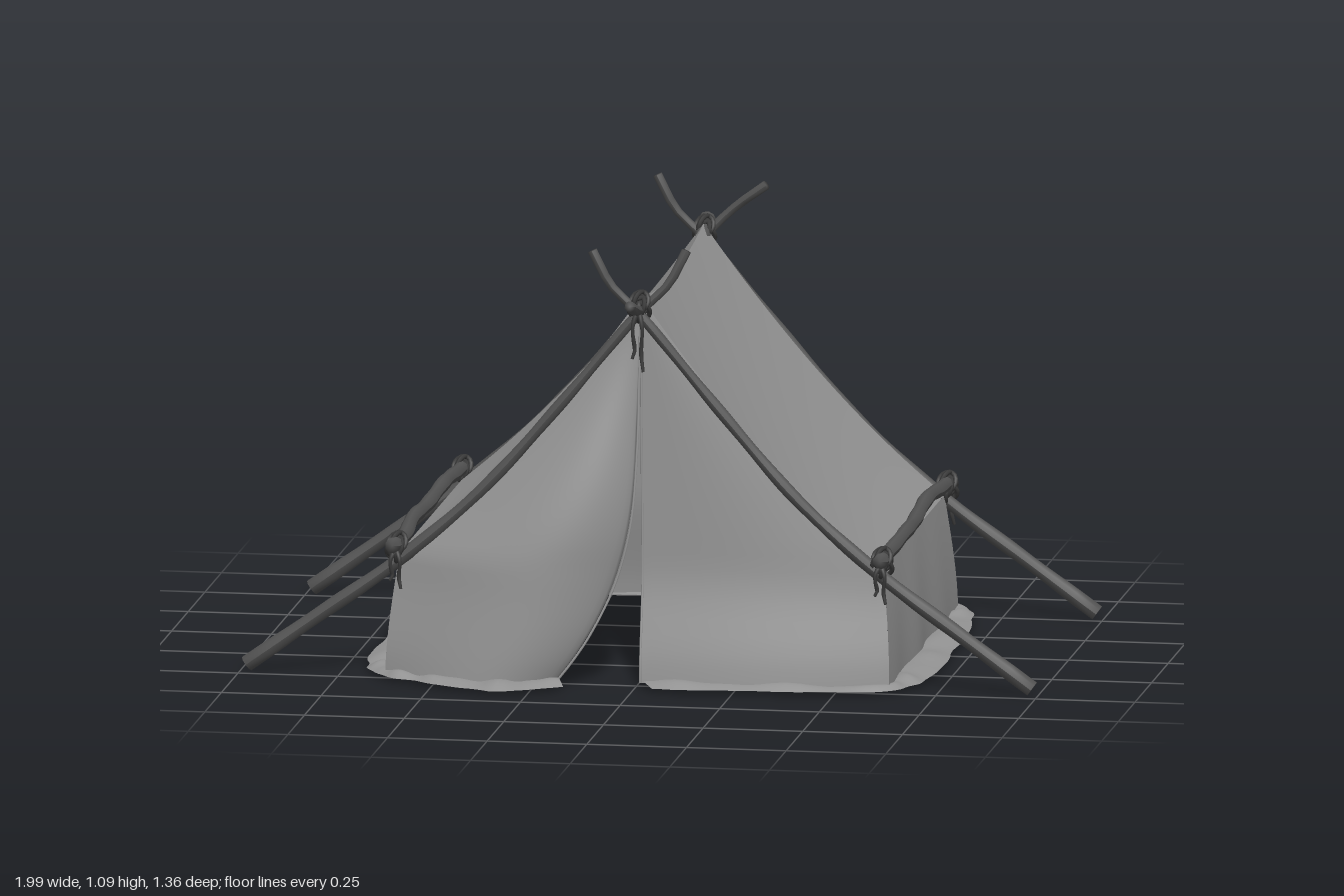
import * as THREE from 'three';
import { ParametricGeometry } from 'three/addons/geometries/ParametricGeometry.js';

const canvas = new THREE.MeshStandardMaterial({ color: 0x939393, side: THREE.DoubleSide });
const wood = new THREE.MeshStandardMaterial({ color: 0x525252 });
const rope = new THREE.MeshStandardMaterial({ color: 0x3a3a3a });
const V = (x, y, z) => new THREE.Vector3(x, y, z);
const { clamp, lerp, smoothstep } = THREE.MathUtils;

const EAVE = 0.3, TOP = 0.965;
const ROOF_FRONT = 0.44, ROOF_BACK = -0.505;
const FRONT_POLE = 0.457, BACK_POLE = -0.522;

// Half width of the tent at a height, and the z of its corners
const low = y => smoothstep(EAVE - y, 0, EAVE);
const halfWidth = y => y > EAVE
  ? 1.4 - Math.sqrt(1.96 - 2 * (TOP - Math.min(y, TOP)))
  : 0.605 + 0.027 * Math.sqrt(low(y));
const frontZ = y => ROOF_FRONT + 0.05 * low(y);
const backZ = y => ROOF_BACK - 0.04 * low(y);

function add(group, name, geometry, material) {
  const mesh = new THREE.Mesh(geometry, material);
  mesh.name = name;
  group.add(mesh);
  return mesh;
}

function cloth(group, name, fn, nu = 24, nv = 24) {
  const g = new ParametricGeometry((u, v, t) => t.copy(fn(u, v)), nu, nv);
  g.computeVertexNormals();
  return add(group, name, g, canvas);
}

// Tapered, slightly uneven round stick; the end rings close into flat caps
function stick(group, name, points, r0, r1, material = wood, wobble = 0.001, n = 44) {
  const curve = new THREE.CatmullRomCurve3(points);
  const sides = 9;
  const g = new THREE.TubeGeometry(curve, n, 1, sides, false);
  const p = g.attributes.position, c = V(), c2 = V(), q = V();
  for (let i = 0; i <= n; i++) {
    curve.getPointAt(i / n, c);
    const end = i === 0 || i === n;
    curve.getPointAt(i === 1 ? 0 : i === n - 1 ? 1 : i / n, c2);
    const r = end ? 0 : lerp(r0, r1, i / n) + wobble * Math.sin(i * 0.9);
    for (let j = 0; j <= sides; j++) {
      const k = i * (sides + 1) + j;
      q.fromBufferAttribute(p, k).sub(c).multiplyScalar(r).add(c2);
      p.setXYZ(k, q.x, q.y, q.z);
    }
  }
  g.computeVertexNormals();
  return add(group, name, g, material);
}

// Rope wound round a crossing, with loose hanging ends
function lashing(group, name, x, y, z, drop, out) {
  const knot = new THREE.Group();
  knot.name = name;
  knot.position.set(x, y, z);
  for (let i = 0; i < 6; i++) {
    const coil = add(knot, 'ropeCoil', new THREE.TorusGeometry(0.026, 0.006, 6, 16), rope);
    coil.rotation.set(i < 3 ? 0.5 : -0.5, i * 0.55, i < 3 ? 0.6 : -0.6);
    coil.position.y = (i % 3 - 1) * 0.012;
  }
  for (const s of [-1, 1]) {
    stick(knot, 'ropeEnd', [
      V(0, 0, out * 0.02), V(s * 0.012, -drop * 0.3, out * 0.032),
      V(s * 0.008, -drop * 0.7, out * 0.024), V(s * 0.014, -drop * (s > 0 ? 1 : 0.8), out * 0.028),
    ], 0.006, 0.004, rope, 0.0008, 12);
  }
  group.add(knot);
}

function roofAndWalls(group) {
  for (const s of [-1, 1]) {
    cloth(group, s > 0 ? 'leftRoof' : 'rightRoof', (u, v) => {
      const x = u * 0.605, z = lerp(ROOF_FRONT, ROOF_BACK, v);
      const sag = 1 - (2 * v - 1) ** 2;
      return V(s * x, TOP - 1.4 * x + 0.5 * x * x - sag * (0.037 * (1 - u) + 0.008 * Math.sin(u * Math.PI)), z);
    });
    cloth(group, s > 0 ? 'leftWall' : 'rightWall', (u, v) => {
      const y = lerp(EAVE, 0.008, u);
      const fold = 0.006 * Math.sin(v * 17 + s) * u;
      return V(s * (halfWidth(y) + fold * Math.sin(v * Math.PI)), y, lerp(frontZ(y), backZ(y), v));
    });
  }
}

function endPanels(group) {
  // Back panel with a soft crease down the middle
  cloth(group, 'backPanel', (u, v) => {
    const y = lerp(TOP, 0.008, v), a = 2 * u - 1;
    const bulge = 0.03 * Math.cos(a * Math.PI / 2) * v;
    const crease = 0.02 * Math.exp(-((a / 0.07) ** 2)) * Math.sin(v * Math.PI);
    return V(a * halfWidth(y), y, backZ(y) - bulge + crease + 0.006 * Math.sin(a * 11) * v * (1 - a * a));
  }, 48, 30);

  // Closed half of the doorway
  const closed = (u, v) => {
    const y = lerp(TOP, 0.008, v);
    const z = frontZ(y) + v * (0.03 * (1 - u) + 0.025 * Math.sin(u * Math.PI));
    return V(lerp(0.012 * v, halfWidth(y), u), y, z);
  };
  cloth(group, 'leftDoorFlap', closed);

  // Open half: bellies outward and its free edge curls back inside
  const edge = y => -0.012 * (TOP - y) - 0.19 * Math.pow(clamp((0.6 - y) / 0.6, 0, 1), 2.6);
  const open = (u, v) => {
    const y = lerp(TOP, 0.008, v), s = lerp(-0.12, 1, u), a = Math.abs(s);
    const belly = smoothstep(TOP - y, 0, 0.72) * (1 - 0.25 * low(y));
    let z = frontZ(y) + belly * (0.05 * (1 - a) + 0.105 * Math.sin(Math.PI * Math.pow(a, 0.8)));
    if (s < 0) z -= belly * a * 0.75;
    return V(lerp(edge(y), -halfWidth(y), a), y, z);
  };
  cloth(group, 'rightDoorFlap', open, 40, 32);

  // Rolled hems along the free edges
  const hem = (name, fn, u) => stick(group, name,
    [0.04, 0.2, 0.4, 0.6, 0.75, 0.88, 0.95, 1].map(v => fn(u, v)), 0.003, 0.003, canvas, 0);
  hem('leftDoorHem', closed, 0);
  hem('rightDoorHem', open, 0.12 / 1.12);
}

// Loose cloth spread on the ground: each row is inner x, z, outer x, z
function groundSkirt(group) {
  const rows = [
    [-0.2, 0.52, -0.17, 0.585], [-0.32, 0.56, -0.32, 0.67], [-0.5, 0.53, -0.5, 0.6],
    [-0.62, 0.47, -0.65, 0.50], [-0.62, 0.3, -0.70, 0.35], [-0.62, 0, -0.705, 0],
    [-0.62, -0.4, -0.69, -0.42], [-0.61, -0.53, -0.63, -0.61], [-0.28, -0.55, -0.27, -0.68],
    [0, -0.55, 0, -0.65], [0.25, -0.55, 0.25, -0.665], [0.61, -0.53, 0.62, -0.61],
    [0.62, -0.4, 0.69, -0.42], [0.62, 0, 0.71, 0], [0.62, 0.3, 0.70, 0.36],
    [0.62, 0.47, 0.63, 0.51], [0.3, 0.495, 0.3, 0.565], [0.01, 0.5, 0.05, 0.58],
  ];
  const inner = new THREE.CatmullRomCurve3(rows.map(r => V(r[0], 0.014, r[1])));
  const outer = new THREE.CatmullRomCurve3(rows.map(r => V(r[2], 0.005, r[3])));
  cloth(group, 'groundSkirt', (u, v) => {
    const p = inner.getPoint(u).lerp(outer.getPoint(u), v);
    const ripple = Math.sin(u * 130) + 0.6 * Math.sin(u * 211 + 1);
    p.y += 0.004 * Math.sin(v * Math.PI) * (1.6 + ripple);
    p.x *= 1 + 0.004 * ripple * v;
    p.z *= 1 + 0.006 * ripple * v;
    return p;
  }, 180, 6);
}

function frame(group) {
  // Crossed poles at each end
  for (const [end, z, out] of [['front', FRONT_POLE, 1], ['back', BACK_POLE, -1]]) {
    for (const s of [-1, 1]) {
      const tip = end === 'back' && s < 0 ? V(0.155, 1.065, z + 0.005) : V(-s * 0.115, 1.085, z + s * 0.017);
      stick(group, end + (s > 0 ? 'LeftPole' : 'RightPole'), [
        V(s * 0.985, 0.012, z), V(s * 0.8, 0.145, z), V(s * 0.61, 0.282, z), V(s * 0.4, 0.465, z),
        V(s * 0.2, 0.69, z), V(0, 0.93, z + s * 0.012), V(-s * 0.07, 1.0, z + s * 0.014), tip,
      ], 0.02, 0.011);
      lashing(group, end + (s > 0 ? 'LeftLashing' : 'RightLashing'), s * 0.608, 0.318, z, 0.1, out);
    }
    lashing(group, end + 'ApexLashing', 0, 0.945, z, 0.16, out);
  }
  // Ridge pole hidden under the cloth, its ends resting in the crossings
  stick(group, 'ridgePole', [
    V(0, 0.972, 0.6), V(0, 0.95, 0.53), V(0, 0.935, 0.465), V(0, 0.91, 0.38), V(0, 0.889, 0.2), V(0, 0.88, 0),
    V(0, 0.888, -0.25), V(0, 0.91, -0.43), V(0, 0.945, -0.51), V(0, 0.967, -0.565),
  ], 0.013, 0.02);
  // Rails along the eaves
  for (const s of [-1, 1]) {
    stick(group, s > 0 ? 'leftRail' : 'rightRail', [
      V(s * 0.612, 0.33, 0.505), V(s * 0.608, 0.325, 0.35), V(s * 0.616, 0.336, 0.18), V(s * 0.612, 0.333, 0),
      V(s * 0.606, 0.345, -0.24), V(s * 0.608, 0.332, -0.42), V(s * 0.608, 0.326, -0.555),
    ], 0.018, 0.018);
  }
}

export function createModel() {
  const tent = new THREE.Group();
  tent.name = 'tent';
  roofAndWalls(tent);
  endPanels(tent);
  groundSkirt(tent);
  frame(tent);
  return tent;
}
